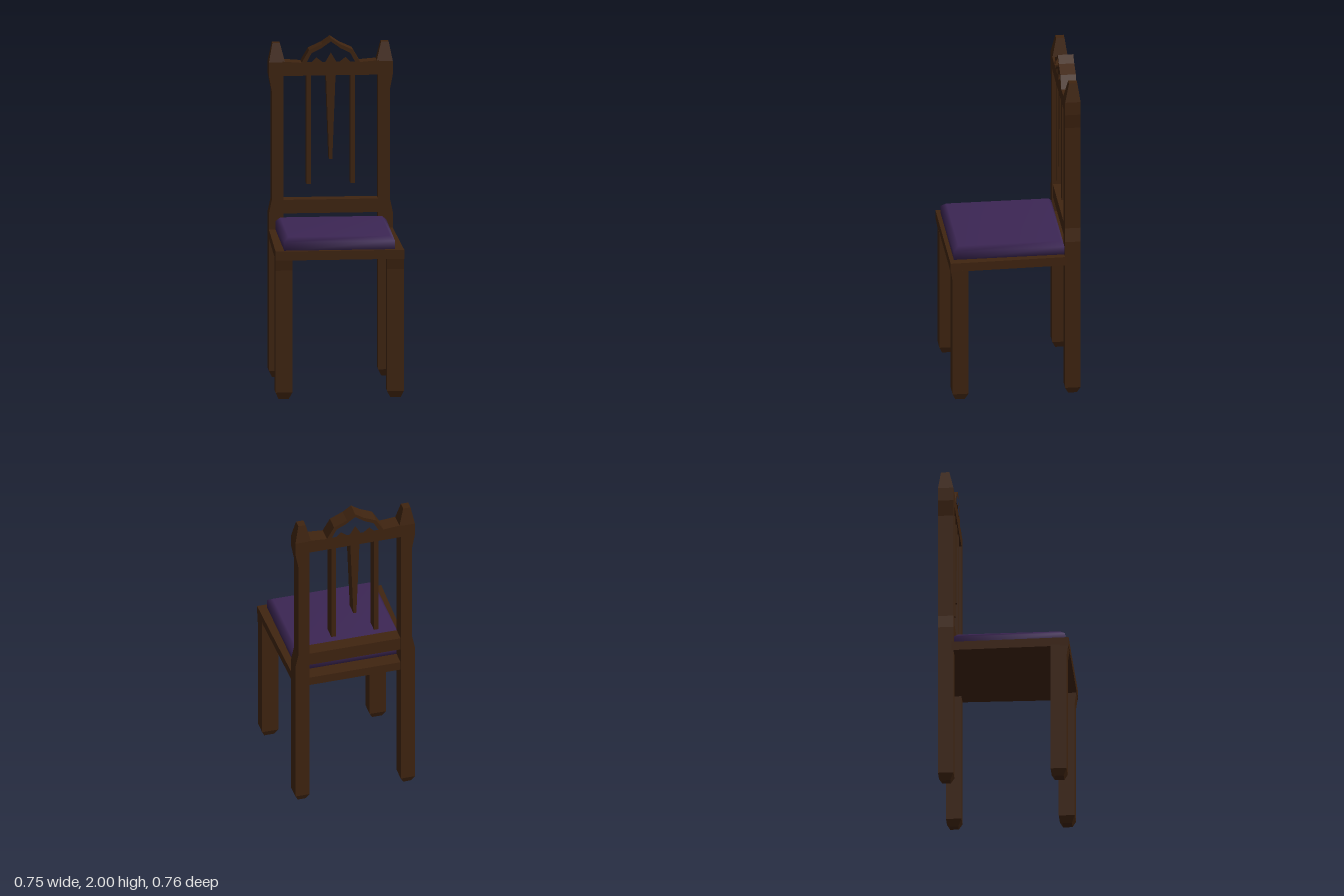
import * as THREE from 'three';

const wood = new THREE.MeshStandardMaterial({ color: 0x3f2410 });
wood.name = 'dark wood';
const fabric = new THREE.MeshStandardMaterial({ color: 0x3c2654 });
fabric.name = 'purple fabric';

const BACK = -0.38, FRONT = -0.29; // depth range of the chair back

// Stack of rectangles [y, x0, x1, z0, z1] from bottom to top, closed at both ends
function loft(rings, smooth = false) {
  const pos = [], idx = [];
  for (const [y, x0, x1, z0, z1] of rings) {
    pos.push(x0, y, z1, x1, y, z1, x1, y, z0, x0, y, z0);
  }
  for (let k = 0; k < rings.length - 1; k++) {
    for (let i = 0; i < 4; i++) {
      const a = k * 4 + i, b = k * 4 + ((i + 1) % 4);
      idx.push(a, b, b + 4, a, b + 4, a + 4);
    }
  }
  const t = (rings.length - 1) * 4;
  idx.push(t, t + 1, t + 2, t, t + 2, t + 3, 0, 2, 1, 0, 3, 2);
  let geo = new THREE.BufferGeometry();
  geo.setAttribute('position', new THREE.Float32BufferAttribute(pos, 3));
  geo.setIndex(idx);
  if (!smooth) geo = geo.toNonIndexed();
  geo.computeVertexNormals();
  return geo;
}

// Same stack on the left (side = 1) or right (side = -1)
function sideLoft(rings, side) {
  return loft(rings.map(([y, a, b, z0, z1]) =>
    [y, Math.min(side * a, side * b), Math.max(side * a, side * b), z0, z1]));
}

function box(x0, x1, y0, y1, z0, z1) {
  return new THREE.BoxGeometry(x1 - x0, y1 - y0, z1 - z0)
    .translate((x0 + x1) / 2, (y0 + y1) / 2, (z0 + z1) / 2);
}

// Mirrors a half outline that runs from x < 0 to the centre line
function mirrored(half) {
  const other = half.filter(([x]) => x !== 0).reverse().map(([x, y]) => [-x, y]);
  return [...half, ...other].map(([x, y]) => new THREE.Vector2(x, y));
}

export function createModel() {
  const chair = new THREE.Group();
  chair.name = 'chair';
  const add = (name, geo, mat = wood) => {
    const mesh = new THREE.Mesh(geo, mat);
    mesh.name = name;
    chair.add(mesh);
  };

  for (const side of [1, -1]) {
    const label = side > 0 ? 'left' : 'right';

    // Back post: leg, slim upright, flared head and tapered finial
    add(label + 'BackPost', sideLoft([
      [0, 0.295, 0.34, -0.36, -0.31],
      [0.04, 0.275, 0.36, BACK, FRONT],
      [0.97, 0.275, 0.36, BACK, FRONT],
      [1.05, 0.275, 0.343, BACK, FRONT],
      [1.69, 0.275, 0.343, BACK, FRONT],
      [1.78, 0.275, 0.36, BACK, FRONT],
      [1.86, 0.266, 0.36, BACK, FRONT],
      [1.97, 0.294, 0.338, -0.364, -0.315],
    ], side));

    // Front leg, leaning out to the seat edge at the top
    add(label + 'FrontLeg', sideLoft([
      [0, 0.295, 0.355, 0.295, 0.35],
      [0.04, 0.275, 0.373, 0.275, 0.368],
      [0.76, 0.275, 0.373, 0.275, 0.368],
      [0.83, 0.275, 0.373, 0.275, 0.379],
    ], side));

    // Hanging side slat
    add(label + 'Slat', sideLoft([
      [1.14, 0.115, 0.142, -0.374, -0.296],
      [1.79, 0.115, 0.142, -0.374, -0.296],
    ], side));
  }

  // Seat board, slightly wider at the front
  const seat = box(-0.374, 0.374, 0.822, 0.875, -0.3, 0.38);
  const p = seat.attributes.position;
  for (let i = 0; i < p.count; i++) {
    if (p.getZ(i) < 0) p.setX(i, Math.sign(p.getX(i)) * 0.36);
  }
  seat.computeVertexNormals();
  add('seat', seat);
  add('seatBackRail', box(-0.28, 0.28, 0.822, 0.875, -0.375, -0.295));

  // Cushion with softened upper edges
  add('cushion', loft([
    [0.87, -0.322, 0.322, FRONT, 0.355],
    [0.925, -0.322, 0.322, FRONT, 0.355],
    [0.95, -0.295, 0.295, -0.27, 0.325],
  ], true), fabric);

  // Rail across the lower back
  add('lowerBackRail', box(-0.28, 0.28, 0.968, 1.048, -0.376, -0.294));

  // Tapered centre slat
  add('centreSlat', loft([
    [1.285, -0.009, 0.009, -0.374, -0.296],
    [1.79, -0.028, 0.028, -0.374, -0.296],
  ]));

  // Top rail with an open carved arch
  const crest = new THREE.Shape(mirrored([
    [0, 1.78], [-0.28, 1.78], [-0.28, 1.865], [-0.17, 1.856],
    [-0.127, 1.93], [-0.05, 1.965], [0, 2],
  ]));
  // Opening under the arch, with pointed teeth along its bottom
  crest.holes.push(new THREE.Path(mirrored([
    [0, 1.915], [-0.032, 1.86], [-0.05, 1.86], [-0.085, 1.888], [-0.112, 1.86],
    [-0.14, 1.86], [-0.112, 1.912], [-0.055, 1.94], [-0.042, 1.95], [0, 1.98],
  ])));
  add('topRail', new THREE.ExtrudeGeometry(crest, { depth: FRONT - BACK, bevelEnabled: false })
    .translate(0, 0, BACK));

  return chair;
}
